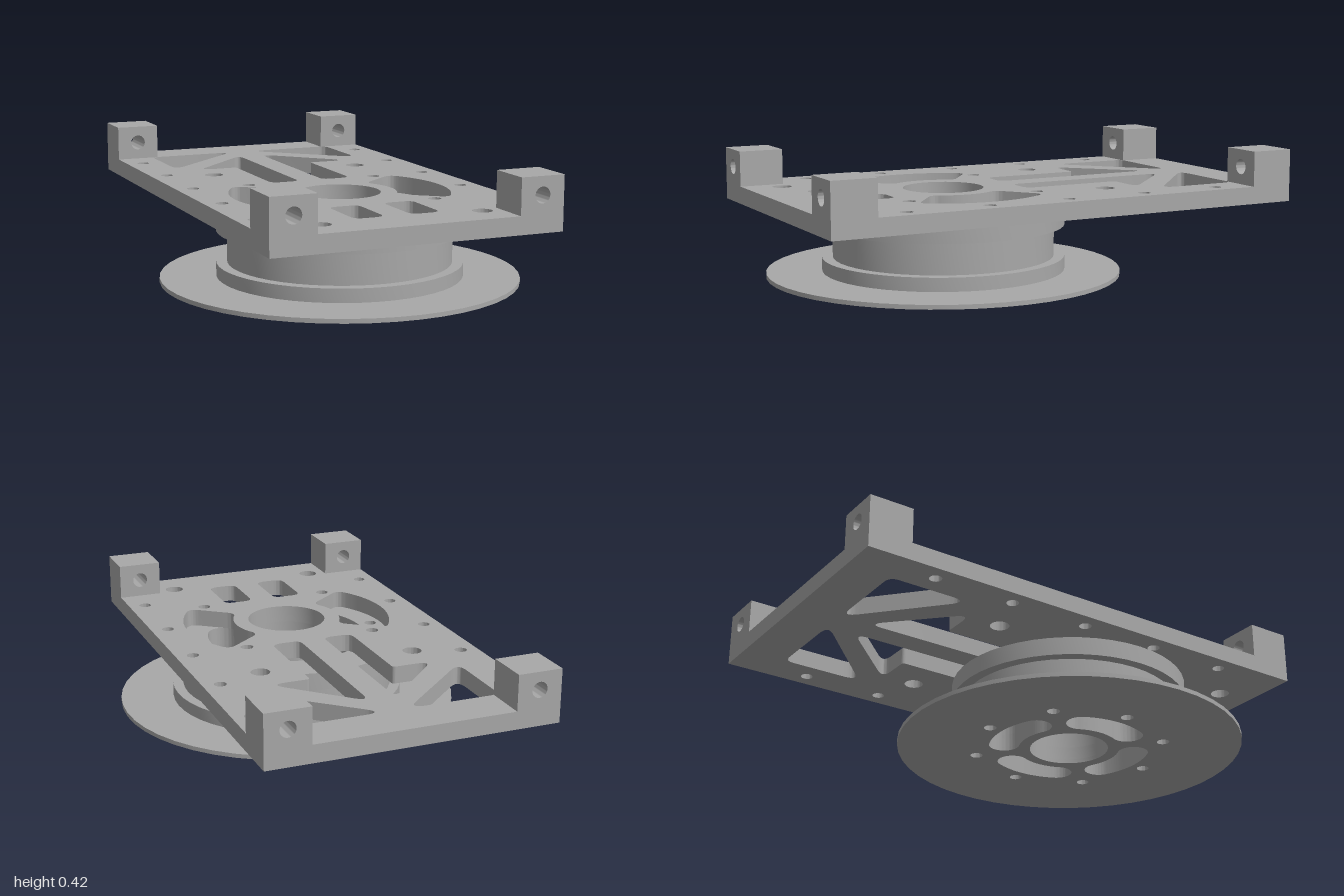
import * as THREE from 'three';
import { toCreasedNormals } from 'three/addons/utils/BufferGeometryUtils.js';

const HUB = 0.249;            // hub centre along the plate's length
const BORE = 0.14, BOLT_CIRCLE = 0.338, BOLT = 0.022;

function circle(x, y, r, Type = THREE.Path) {
  const p = new Type();
  p.absarc(x, y, r, 0, Math.PI * 2, false);
  return p;
}

// Polygon with rounded corners; each point is [x, y, rounding distance]
function rounded(points) {
  const path = new THREE.Path();
  const n = points.length;
  const toward = (a, b) => {
    const from = new THREE.Vector2(a[0], a[1]), to = new THREE.Vector2(b[0], b[1]);
    return from.clone().add(to.sub(from).setLength(a[2]));
  };
  points.forEach((p, i) => {
    const start = toward(p, points[(i + n - 1) % n]);
    const end = toward(p, points[(i + 1) % n]);
    if (i === 0) path.moveTo(start.x, start.y);
    else path.lineTo(start.x, start.y);
    path.quadraticCurveTo(p[0], p[1], end.x, end.y);
  });
  path.closePath();
  return path;
}

const polar = (r, a) => [r * Math.cos(a), HUB + r * Math.sin(a)];

// Curved slot with round ends, around the hub
function kidney(angle) {
  const r = 0.235, w = 0.054, half = 0.44;
  const a = angle - half, b = angle + half;
  const path = new THREE.Path();
  path.absarc(0, HUB, r + w, a, b, false);
  path.absarc(...polar(r, b), w, b, b + Math.PI, false);
  path.absarc(0, HUB, r - w, b, a, true);
  path.absarc(...polar(r, a), w, a + Math.PI, a + Math.PI * 2, false);
  return path;
}

// Ring sector window with softened corners, around the hub
function sector(angle) {
  const r0 = 0.195, r1 = 0.378, half = 0.66, d = 0.035;
  const a = angle - half, b = angle + half, o = d / r1, i = d / r0;
  const path = new THREE.Path();
  path.absarc(0, HUB, r1, a + o, b - o, false);
  path.quadraticCurveTo(...polar(r1, b), ...polar(r1 - d, b));
  path.lineTo(...polar(r0 + d, b));
  path.quadraticCurveTo(...polar(r0, b), ...polar(r0, b - i));
  path.absarc(0, HUB, r0, b - i, a + i, true);
  path.quadraticCurveTo(...polar(r0, a), ...polar(r0 + d, a));
  path.lineTo(...polar(r1 - d, a));
  path.quadraticCurveTo(...polar(r1, a), ...polar(r1, a + o));
  return path;
}

function extrude(shape, depth) {
  const g = new THREE.ExtrudeGeometry(shape, { depth, bevelEnabled: false, curveSegments: 24 });
  return toCreasedNormals(g, 0.5);
}

export function createModel() {
  const metal = new THREE.MeshStandardMaterial({ color: 0xa8a8a8 });
  metal.name = 'grey metal';
  const model = new THREE.Group();
  model.name = 'mountingPlateWithHub';
  const body = new THREE.Group();
  body.name = 'assembly';
  body.rotation.y = Math.PI / 6;
  model.add(body);

  // Lay a flat outline down between two heights
  function slab(name, shape, bottom, top) {
    const g = extrude(shape, top - bottom);
    g.rotateX(Math.PI / 2);
    g.translate(0, top, 0);
    const mesh = new THREE.Mesh(g, metal);
    mesh.name = name;
    body.add(mesh);
  }

  // Base disc and spool, all pierced by bore, slots and bolt holes
  const layers = [
    ['baseDisc', 0.615, 0, 0.015],
    ['lowerFlange', 0.4225, 0.015, 0.062],
    ['spoolCore', 0.385, 0.062, 0.172],
    ['upperFlange', 0.4225, 0.172, 0.236],
  ];
  for (const [name, radius, bottom, top] of layers) {
    const shape = circle(0, HUB, radius, THREE.Shape);
    shape.holes.push(circle(0, HUB, BORE));
    for (let i = 0; i < 4; i++) shape.holes.push(kidney(i * Math.PI / 2));
    for (let i = 0; i < 8; i++) shape.holes.push(circle(...polar(BOLT_CIRCLE, i * Math.PI / 4), BOLT));
    slab(name, shape, bottom, top);
  }

  // Plate
  const W = 0.5, L = 0.865;
  const plate = new THREE.Shape();
  plate.moveTo(-W, -L);
  plate.lineTo(W, -L);
  plate.lineTo(W, L);
  plate.lineTo(-W, L);
  plate.closePath();
  plate.holes.push(circle(0, HUB, BORE), sector(0), sector(Math.PI));
  for (let i = 0; i < 4; i++) plate.holes.push(circle(...polar(BOLT_CIRCLE, (i + 0.5) * Math.PI / 2), BOLT));

  const cutouts = [
    // corner truss triangle
    [[0.042, -0.712, 0.065], [0.366, -0.712, 0.035], [0.366, -0.416, 0.065]],
    // long flared slot beside the centre rib
    [[0.045, -0.61, 0.055], [0.295, -0.36, 0.06], [0.15, -0.36, 0.012], [0.15, 0, 0.035], [0.045, 0, 0.03]],
    // short front window
    [[0.045, 0.495, 0.03], [0.15, 0.495, 0.03], [0.15, 0.7, 0.035], [0.045, 0.7, 0.035]],
  ];
  for (const s of [-1, 1]) {
    for (const pts of cutouts) plate.holes.push(rounded(pts.map(([x, y, d]) => [s * x, y, d])));
    for (let i = -2; i <= 2; i++) plate.holes.push(circle(s * 0.44, i * 0.294, 0.021));
    for (const v of [-0.487, 0.487]) plate.holes.push(circle(s * 0.28, HUB + v, 0.033));
  }
  slab('plate', plate, 0.236, 0.297);

  // Corner blocks with a hole running lengthwise
  const size = 0.155;
  const face = new THREE.Shape();
  face.moveTo(-size / 2, 0.297);
  face.lineTo(size / 2, 0.297);
  face.lineTo(size / 2, 0.42);
  face.lineTo(-size / 2, 0.42);
  face.closePath();
  face.holes.push(circle(0, 0.359, 0.027));
  const blockGeometry = extrude(face, size);
  blockGeometry.translate(0, 0, -size / 2);
  for (const sx of [-1, 1]) for (const sz of [-1, 1]) {
    const block = new THREE.Mesh(blockGeometry, metal);
    block.name = (sz > 0 ? 'front' : 'back') + (sx > 0 ? 'Left' : 'Right') + 'Block';
    block.position.set(sx * (W - size / 2), 0, sz * (L - size / 2));
    body.add(block);
  }
  return model;
}
